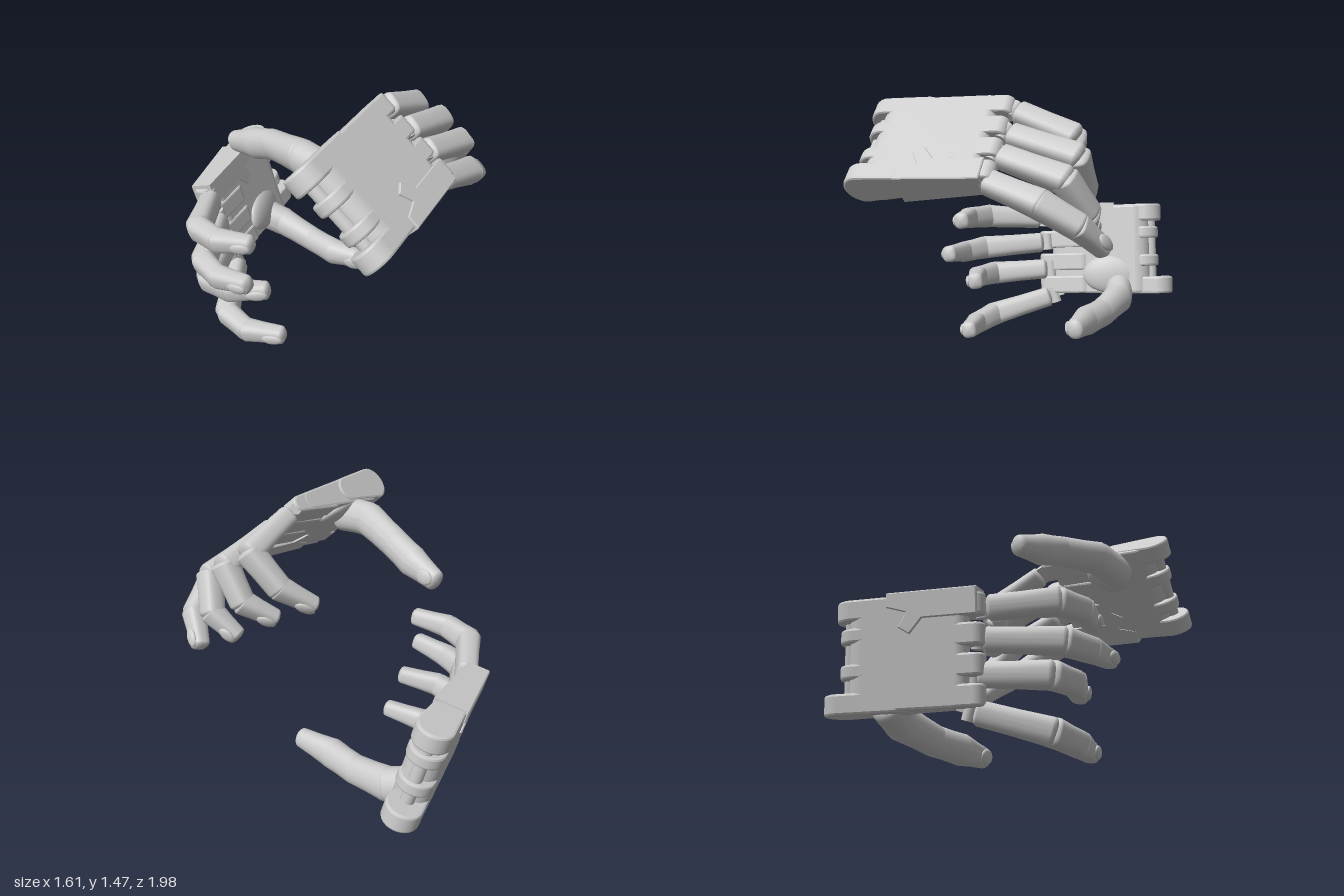
import * as THREE from 'three';

const V = (a) => new THREE.Vector3(...a);
const material = new THREE.MeshStandardMaterial({ color: 0xcccccc });

function mesh(name, geometry, parent) {
  const m = new THREE.Mesh(geometry, material);
  m.name = name;
  parent.add(m);
  return m;
}

// Rounded, slightly square limb segment, running from 0 to len along y
function limbGeometry(len, ra, rb, depth, square) {
  const pts = [];
  const ea = ra * 0.4, eb = rb * 0.5;
  for (let i = 0; i <= 5; i++) {
    const t = (i / 5) * Math.PI / 2;
    pts.push(new THREE.Vector2(ra * Math.sin(t), -ea * Math.cos(t)));
  }
  pts.push(new THREE.Vector2((ra + rb) / 2 * 0.97, len / 2));
  for (let i = 0; i <= 5; i++) {
    const t = (i / 5) * Math.PI / 2;
    pts.push(new THREE.Vector2(rb * Math.cos(t), len + eb * Math.sin(t)));
  }
  const g = new THREE.LatheGeometry(pts, 24);
  const p = g.attributes.position;
  for (let i = 0; i < p.count; i++) {
    const x = p.getX(i), z = p.getZ(i), r = Math.hypot(x, z);
    if (r < 1e-5) continue;
    const q = Math.pow((x / r) ** 4 + (z / r) ** 4, -0.25);
    const k = 1 + (q - 1) * square;
    p.setX(i, x * k);
    p.setZ(i, z * k * depth);
  }
  g.computeVertexNormals();
  return g;
}

// Places an object at a, with y along a-b and x close to the side axis
function aim(obj, a, b, side) {
  const y = b.clone().sub(a).normalize();
  const x = side.clone().addScaledVector(y, -side.dot(y)).normalize();
  const z = x.clone().cross(y);
  obj.quaternion.setFromRotationMatrix(new THREE.Matrix4().makeBasis(x, y, z));
  obj.position.copy(a);
}

// Chain of limb segments; fingers also get a knuckle hinge
function digit(name, joints, radii, side, parent, hinged) {
  const group = new THREE.Group();
  group.name = name;
  parent.add(group);
  const pts = joints.map(V);
  const last = pts.length - 2;
  for (let i = 0; i <= last; i++) {
    const a = pts[i].clone(), b = pts[i + 1];
    if (i === 0 && hinged) {
      const r = radii[0] * 0.5;
      const pin = mesh(name + 'Hinge', new THREE.CylinderGeometry(r, r, radii[0] * 1.6, 16).rotateZ(Math.PI / 2), group);
      aim(pin, a, b, side);
      const link = mesh(name + 'Link', new THREE.BoxGeometry(r, 0.12, r), group);
      aim(link, a, b, side);
      a.lerp(b, 0.12);
    }
    const len = a.distanceTo(b);
    const shape = hinged ? [0.92, 0.75] : [0.85, 0.15];
    const s = mesh(name + 'Segment', limbGeometry(len, radii[i], radii[i + 1], ...shape), group);
    aim(s, a, b, side);
    if (i === last) {
      // nail pad on the outer face of the tip
      const nail = mesh(name + 'Nail', new THREE.SphereGeometry(1, 16, 10), s);
      nail.scale.set(radii[i + 1] * 0.72, len * 0.28, 0.016);
      nail.position.set(0, len * 0.8, (radii[i + 1] * 0.85 + radii[i] * 0.15) * shape[0]);
      nail.rotation.x = -Math.atan((radii[i] - radii[i + 1]) / len);
    }
  }
}

// Palm thickness tapers from wrist to knuckles
const thickness = (y) => 0.19 - 0.13 * Math.max(y, 0);

// Strip of the palm: rounded side profile extruded across the hand
function strip(name, x0, x1, y0, y1, parent) {
  const r0 = thickness(y0) / 2, r1 = thickness(y1) / 2;
  const s = new THREE.Shape();
  s.absarc(y1 - r1, -r1, r1, -Math.PI / 2, Math.PI / 2, false);
  s.absarc(y0 + r0, -r0, r0, Math.PI / 2, Math.PI * 1.5, false);
  const bevel = 0.012;
  const g = new THREE.ExtrudeGeometry(s, {
    depth: x1 - x0 - 2 * bevel, bevelThickness: bevel, bevelSize: bevel,
    bevelOffset: -bevel, bevelSegments: 2, curveSegments: 12,
  });
  g.translate(0, 0, x0 + bevel);
  g.applyMatrix4(new THREE.Matrix4().makeBasis(V([0, 1, 0]), V([0, 0, 1]), V([1, 0, 0])));
  mesh(name, g, parent);
}

function makePalm({ origin, pinky, length, lugs }, along, side) {
  const palm = new THREE.Group();
  palm.name = 'palm';
  const o = V(origin);
  aim(palm, o, o.clone().add(along), side);
  strip('palmBody', -0.265, 0.265, 0.03, length - 0.07, palm);
  // wrist lugs
  strip('wristLug', -0.272, -0.17, lugs[0], 0.35, palm);
  strip('wristLug', 0.17, 0.272, lugs[1], 0.35, palm);
  for (const x of [pinky * 0.1, -pinky * 0.07]) {
    strip('wristInnerLug', x - 0.035, x + 0.035, -0.02, 0.25, palm);
  }
  // knuckle tabs
  for (const x of [-0.21, -0.07, 0.07, 0.21]) {
    strip('knuckleTab', x - 0.053, x + 0.053, 0.38, length + 0.01, palm);
  }
  // wrist axle
  const axle = mesh('wristAxle', new THREE.CylinderGeometry(0.035, 0.035, 0.42, 20).rotateZ(Math.PI / 2), palm);
  axle.position.set(0, 0.03, -0.095);
  // hooked guard wrapped around the little-finger edge
  const guard = new THREE.Shape([
    [0.28, 0.25], [0.28, 0.68], [0.16, 0.68], [0.16, 0.42], [0.09, 0.36], [0.12, 0.31], [0.19, 0.35], [0.22, 0.25],
  ].map(([x, y]) => new THREE.Vector2(x * pinky, y)));
  const g = new THREE.ExtrudeGeometry(guard, {
    depth: 0.155, bevelThickness: 0.005, bevelSize: 0.005, bevelSegments: 1,
  }).translate(0, 0, -0.15);
  const pos = g.attributes.position;
  for (let i = 0; i < pos.count; i++) {
    if (pos.getZ(i) < -0.07) pos.setZ(i, -thickness(pos.getY(i)) - 0.01);
  }
  g.computeVertexNormals();
  mesh('edgeGuard', g, palm);
  // padded mount at the root of the thumb
  const pad = mesh('thumbMount', new THREE.SphereGeometry(1, 24, 16), palm);
  pad.scale.set(0.12, 0.18, 0.05);
  pad.position.set(-pinky * 0.15, 0.26, -0.14);
  return palm;
}

function makeHand(name, spec) {
  const hand = new THREE.Group();
  hand.name = name;
  const along = V(spec.along).normalize();
  const side = V(spec.side).normalize();
  hand.add(makePalm(spec, along, side));
  const names = ['indexFinger', 'middleFinger', 'ringFinger', 'littleFinger'];
  spec.fingers.forEach((j, i) => digit(names[i], j, [0.06, 0.069, 0.062, 0.047], side, hand, true));
  digit('thumb', spec.thumb, [0.1, 0.092, 0.08, 0.083, 0.056], side, hand, false);
  return hand;
}

export function createModel() {
  const model = new THREE.Group();
  model.name = 'pairOfMechanicalHands';

  model.add(makeHand('upperHand', {
    origin: [-0.052, 1.258, 0.847], along: [0.588, 0.055, -0.807], side: [0.588, -0.667, 0.451],
    pinky: 1, length: 0.73, lugs: [-0.05, -0.06],
    fingers: [
      [[0.22, 1.39, 0.15], [0.43, 1.27, -0.09], [0.29, 1.1, -0.15], [0.12, 0.99, -0.13]],
      [[0.31, 1.29, 0.22], [0.56, 1.19, -0.06], [0.48, 1.02, -0.14], [0.32, 0.92, -0.13]],
      [[0.39, 1.2, 0.29], [0.65, 1.10, 0.03], [0.64, 0.94, -0.09], [0.52, 0.83, -0.14]],
      [[0.46, 1.09, 0.37], [0.67, 1.0, 0.16], [0.745, 0.9, 0.0], [0.71, 0.78, -0.14]],
    ],
    thumb: [[-0.08, 1.24, 0.52], [-0.2, 1.26, 0.37], [-0.32, 1.21, 0.14], [-0.4, 1.16, 0.02], [-0.5, 1.11, -0.11]],
  }));

  model.add(makeHand('lowerHand', {
    origin: [-0.415, 0.468, -0.955], along: [-0.41, -0.05, 0.91], side: [0.29, -0.95, -0.06],
    pinky: -1, length: 0.7, lugs: [-0.04, -0.1],
    fingers: [
      [[-0.54, 0.19, -0.34], [-0.62, 0.08, 0.02], [-0.52, 0.065, 0.16], [-0.33, 0.09, 0.26]],
      [[-0.58, 0.35, -0.33], [-0.71, 0.315, 0.0], [-0.6, 0.33, 0.13], [-0.4, 0.36, 0.2]],
      [[-0.62, 0.51, -0.32], [-0.72, 0.48, 0.06], [-0.65, 0.48, 0.2], [-0.5, 0.51, 0.33]],
      [[-0.66, 0.65, -0.31], [-0.73, 0.675, 0.03], [-0.64, 0.69, 0.17], [-0.47, 0.71, 0.26]],
    ],
    thumb: [[-0.36, 0.27, -0.7], [-0.24, 0.23, -0.64], [-0.08, 0.2, -0.47], [0.03, 0.2, -0.33], [0.19, 0.215, -0.2]],
  }));
  return model;
}
